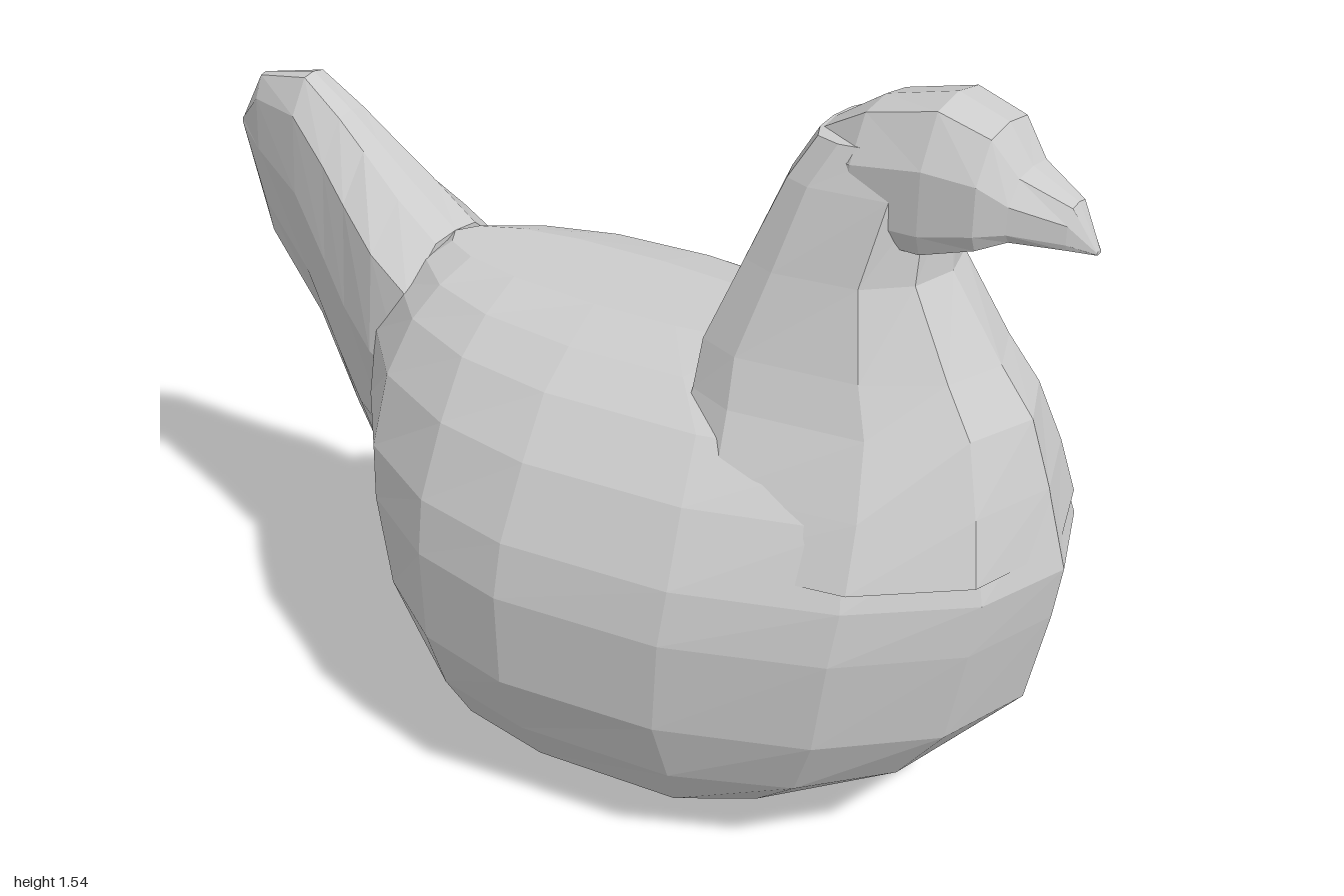
import * as THREE from 'three';

const material = new THREE.MeshStandardMaterial({ color: 0xcccccc, flatShading: true });

// Skins a list of rings (equal point counts) and closes both ends.
function loft(name, rings) {
  const pos = [];
  const tri = (...pts) => pts.forEach(p => pos.push(p.x, p.y, p.z));
  const n = rings[0].length;
  const middle = ring => ring.reduce((s, p) => s.add(p), new THREE.Vector3()).divideScalar(n);
  const first = rings[0], last = rings[rings.length - 1];
  const c0 = middle(first), c1 = middle(last);
  for (let i = 0; i < n; i++) {
    const j = (i + 1) % n;
    for (let k = 0; k < rings.length - 1; k++) {
      const a = rings[k], b = rings[k + 1];
      tri(a[i], a[j], b[j]);
      tri(a[i], b[j], b[i]);
    }
    tri(c0, first[j], first[i]);
    tri(c1, last[i], last[j]);
  }
  const geo = new THREE.BufferGeometry();
  geo.setAttribute('position', new THREE.Float32BufferAttribute(pos, 3));
  geo.computeVertexNormals();
  const mesh = new THREE.Mesh(geo, material);
  mesh.name = name;
  return mesh;
}

// Horizontal egg-shaped ring: rear x, front x, x of widest point, half width,
// then front and rear powers, where values below 1 flatten that end.
function eggRing([y, x0, x1, xm, hz, frontPower, backPower], segments) {
  return Array.from({ length: segments }, (_, i) => {
    const t = (i / segments) * Math.PI * 2;
    const c = Math.cos(t);
    const x = c > 0
      ? xm + Math.pow(c, frontPower) * (x1 - xm)
      : xm - Math.pow(-c, backPower) * (xm - x0);
    return new THREE.Vector3(x, y, -Math.sin(t) * hz);
  });
}

// Upright ring across x: a half profile of [height, width] fractions, mirrored in z.
function crossRing([x, top, bottom, hz], half) {
  const point = (h, w) => new THREE.Vector3(x, bottom + (top - bottom) * h, w * hz);
  const right = half.map(([h, w]) => point(h, w));
  const left = half.slice(1, -1).reverse().map(([h, w]) => point(h, -w));
  return [...right, ...left];
}

export function createModel() {
  const hen = new THREE.Group();
  hen.name = 'hen';

  // Plump body with a squarish flat base and a gently ridged back
  const body = [
    [0.0, -0.13, 0.42, 0.1, 0.25, 0.4, 0.4],
    [0.11, -0.27, 0.63, 0.09, 0.42, 0.6, 0.6],
    [0.21, -0.41, 0.82, 0.09, 0.48, 0.85, 0.85],
    [0.35, -0.48, 0.94, 0.08, 0.535, 1, 1],
    [0.55, -0.54, 0.98, 0.08, 0.545, 1, 1.1],
    [0.66, -0.56, 0.995, 0.08, 0.52, 1, 1.1],
    [0.8, -0.56, 0.955, 0.08, 0.445, 1, 1.1],
    [0.9, -0.51, 0.91, 0.06, 0.345, 1, 1],
    [0.955, -0.46, 0.7, 0.05, 0.25, 1, 0.9],
    [0.985, -0.42, 0.5, 0.02, 0.12, 1, 0.8],
  ];
  hen.add(loft('body', body.map(r => eggRing(r, 16))));

  // Neck sweeping down into the breast, flat at the back
  const neck = [
    [0.7, 0.2, 0.98, 0.45, 0.42, 0.9, 0.7],
    [0.82, 0.26, 0.95, 0.45, 0.36, 0.88, 0.6],
    [0.95, 0.285, 0.905, 0.43, 0.285, 0.85, 0.55],
    [1.04, 0.29, 0.835, 0.42, 0.248, 0.8, 0.55],
    [1.2, 0.355, 0.725, 0.46, 0.195, 0.7, 0.55],
    [1.36, 0.42, 0.715, 0.5, 0.148, 0.5, 0.6],
    [1.44, 0.465, 0.68, 0.54, 0.115, 0.5, 0.6],
  ];
  hen.add(loft('neck', neck.map(r => eggRing(r, 12))));

  // Head tapering into the hooked beak
  const headProfile = [[1, 0], [0.95, 0.6], [0.6, 1], [0.15, 1], [0, 0.88], [0, 0]];
  const head = [
    [0.47, 1.44, 1.34, 0.09],
    [0.57, 1.505, 1.27, 0.125],
    [0.71, 1.54, 1.27, 0.13],
    [0.81, 1.505, 1.3, 0.118],
    [0.86, 1.435, 1.32, 0.09],
    [0.95, 1.39, 1.312, 0.042],
    [0.995, 1.31, 1.303, 0.008],
  ];
  hen.add(loft('headAndBeak', head.map(r => crossRing(r, headProfile))));

  // Upswept, blade-like tail blending into the rump
  const tailProfile = [[1, 0], [0.99, 0.35], [0.86, 0.88], [0.55, 1], [0.22, 0.75], [0, 0.3], [0, 0]];
  const tail = [
    [-1.0, 1.115, 1.085, 0.01],
    [-0.93, 1.23, 0.86, 0.04],
    [-0.79, 1.26, 0.7, 0.085],
    [-0.69, 1.195, 0.51, 0.115],
    [-0.62, 1.14, 0.4, 0.14],
    [-0.52, 1.06, 0.365, 0.18],
    [-0.42, 0.985, 0.35, 0.19],
  ];
  hen.add(loft('tail', tail.map(r => crossRing(r, tailProfile))));

  return hen;
}
